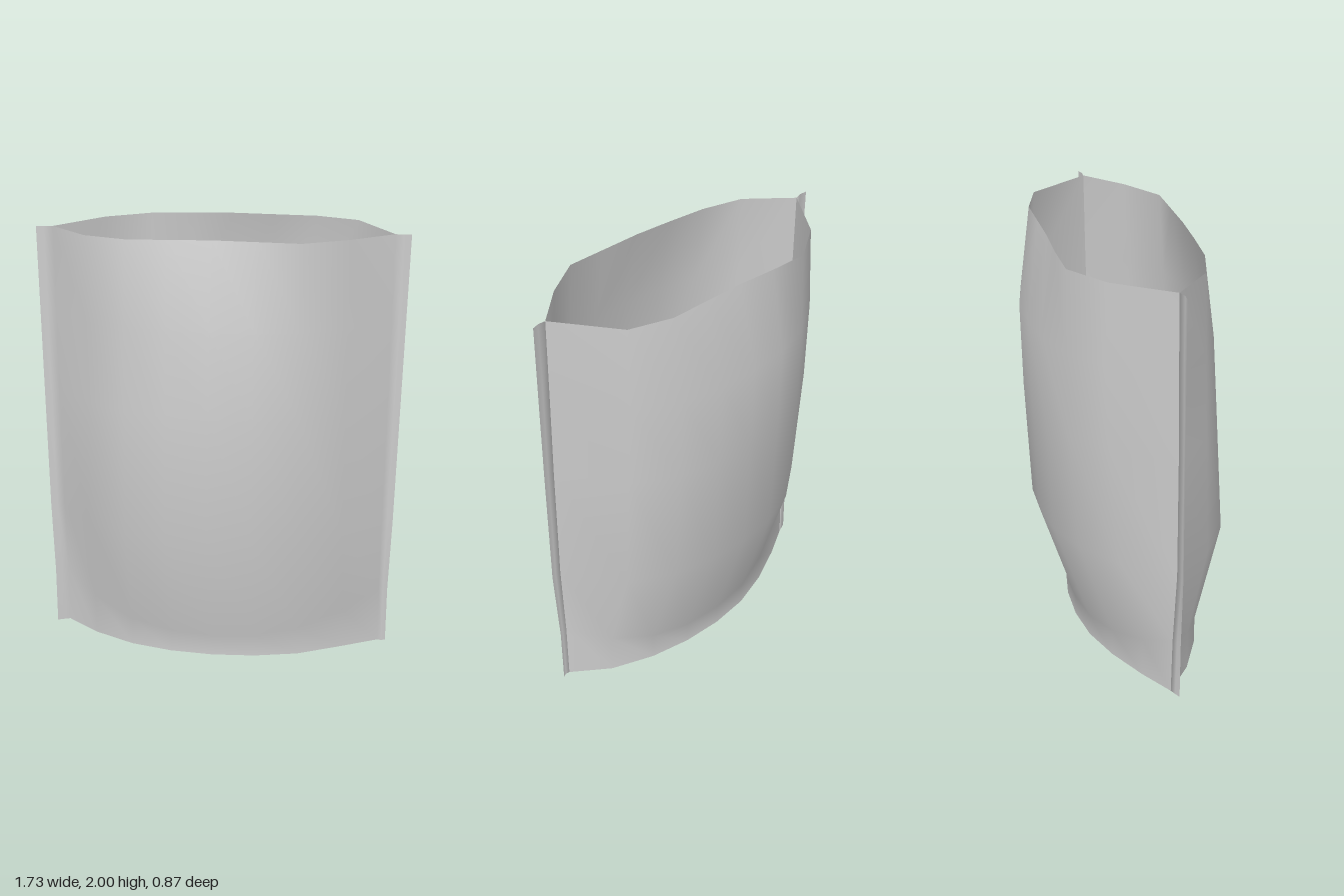
import * as THREE from 'three';

// Heights of the cross-sections, and fixed x stations between the side seams
const HEIGHTS = [0, 0.1, 0.62, 1.2, 1.6, 2];
const STATIONS = [-0.6, -0.4, -0.2, 0, 0.2, 0.4, 0.6];
const SEAM_X = [0.765, 0.765, 0.77, 0.78, 0.785, 0.79];
const SEAM_Z = [0.03, 0.035, 0.05, 0.045, 0.038, 0.033];

// Depth of the outer edge of each side fin at every height
const RIGHT_EDGE_Z = [0.055, 0.055, 0.058, 0.052, 0.047, 0.042];
const LEFT_EDGE_Z = [0.026, 0.03, 0.047, 0.041, 0.034, 0.026];

// Depth of each wall at the stations, one row per height
const FRONT = [
  [0.16, 0.26, 0.308, 0.32, 0.3, 0.245, 0.13],
  [0.16, 0.26, 0.308, 0.32, 0.3, 0.245, 0.13],
  [0.25, 0.38, 0.43, 0.435, 0.415, 0.35, 0.235],
  [0.23, 0.345, 0.395, 0.405, 0.39, 0.34, 0.22],
  [0.22, 0.32, 0.365, 0.38, 0.37, 0.33, 0.21],
  [0.21, 0.27, 0.285, 0.295, 0.3, 0.305, 0.19],
];
const BACK = [
  [-0.06, -0.15, -0.21, -0.23, -0.22, -0.18, -0.1],
  [-0.06, -0.15, -0.21, -0.23, -0.22, -0.18, -0.1],
  [-0.17, -0.31, -0.38, -0.4, -0.39, -0.34, -0.22],
  [-0.22, -0.35, -0.41, -0.425, -0.42, -0.37, -0.25],
  [-0.235, -0.36, -0.42, -0.435, -0.43, -0.38, -0.27],
  [-0.22, -0.35, -0.35, -0.34, -0.335, -0.33, -0.26],
];

// Skin a grid of points; each row is a list of [x, y, z]
function sheet(name, rows, material) {
  const n = rows[0].length;
  const index = [];
  for (let r = 0; r < rows.length - 1; r++) {
    for (let c = 0; c < n - 1; c++) {
      const a = r * n + c;
      index.push(a, a + 1, a + n, a + 1, a + n + 1, a + n);
    }
  }
  const geometry = new THREE.BufferGeometry();
  geometry.setAttribute('position', new THREE.Float32BufferAttribute(rows.flat(2), 3));
  geometry.setIndex(index);
  geometry.computeVertexNormals();
  const mesh = new THREE.Mesh(geometry, material);
  mesh.name = name;
  return mesh;
}

// Height of section r at x: the seal row curves up to the seams, the rim dips a little
function heightAt(r, x) {
  if (r === 1) return 0.1 + 0.17 * Math.pow(Math.min(Math.abs(x) / 0.765, 1), 2.5);
  if (r === 5) return 2 - 0.014 * THREE.MathUtils.clamp(-x / 0.4, 0, 1);
  return HEIGHTS[r];
}

// Wall section r from seam to seam
function wallRow(depths, r) {
  const points = [
    [-SEAM_X[r], SEAM_Z[r]],
    ...STATIONS.map((x, i) => [x, depths[r][i]]),
    [SEAM_X[r], SEAM_Z[r]],
  ];
  return points.map(([x, z]) => [x, heightAt(r, x), z]);
}

// Front section r: the wall plus a sealed fin at each side
function frontRow(r) {
  const right = -0.822 - 0.023 * HEIGHTS[r];
  const left = 0.803 + 0.03 * HEIGHTS[r];
  const fin = (x, z) => [x, heightAt(r, x), z];
  return [
    fin(right, RIGHT_EDGE_Z[r]),
    fin((right - SEAM_X[r]) / 2, SEAM_Z[r] + 0.012),
    ...wallRow(FRONT, r),
    fin((left + SEAM_X[r]) / 2, SEAM_Z[r] + 0.003),
    fin(left, LEFT_EDGE_Z[r]),
  ];
}

export function createModel() {
  const group = new THREE.Group();
  group.name = 'pouch';
  const film = new THREE.MeshStandardMaterial({ color: 0xcccccc, side: THREE.DoubleSide });

  // Bulging front and back walls, open at the top, with flat sealed fins at the sides
  const front = HEIGHTS.map((_, r) => frontRow(r));
  const back = HEIGHTS.map((_, r) => wallRow(BACK, r));
  group.add(sheet('frontWall', front, film));
  group.add(sheet('backWall', back.map((row) => [...row].reverse()), film));

  // Bottom gusset: joined to the walls along the curved seal, with a shallow middle fold
  const frontSeal = front[1].slice(2, -2);
  const backSeal = back[1];
  const fold = frontSeal.map(([x, y]) => {
    const t = 1 - Math.abs(x) / 0.765;
    return [x, y + 0.05 * t, SEAM_Z[1] + 0.01 * t];
  });
  group.add(sheet('bottomGusset', [frontSeal, fold, backSeal], film));

  return group;
}
